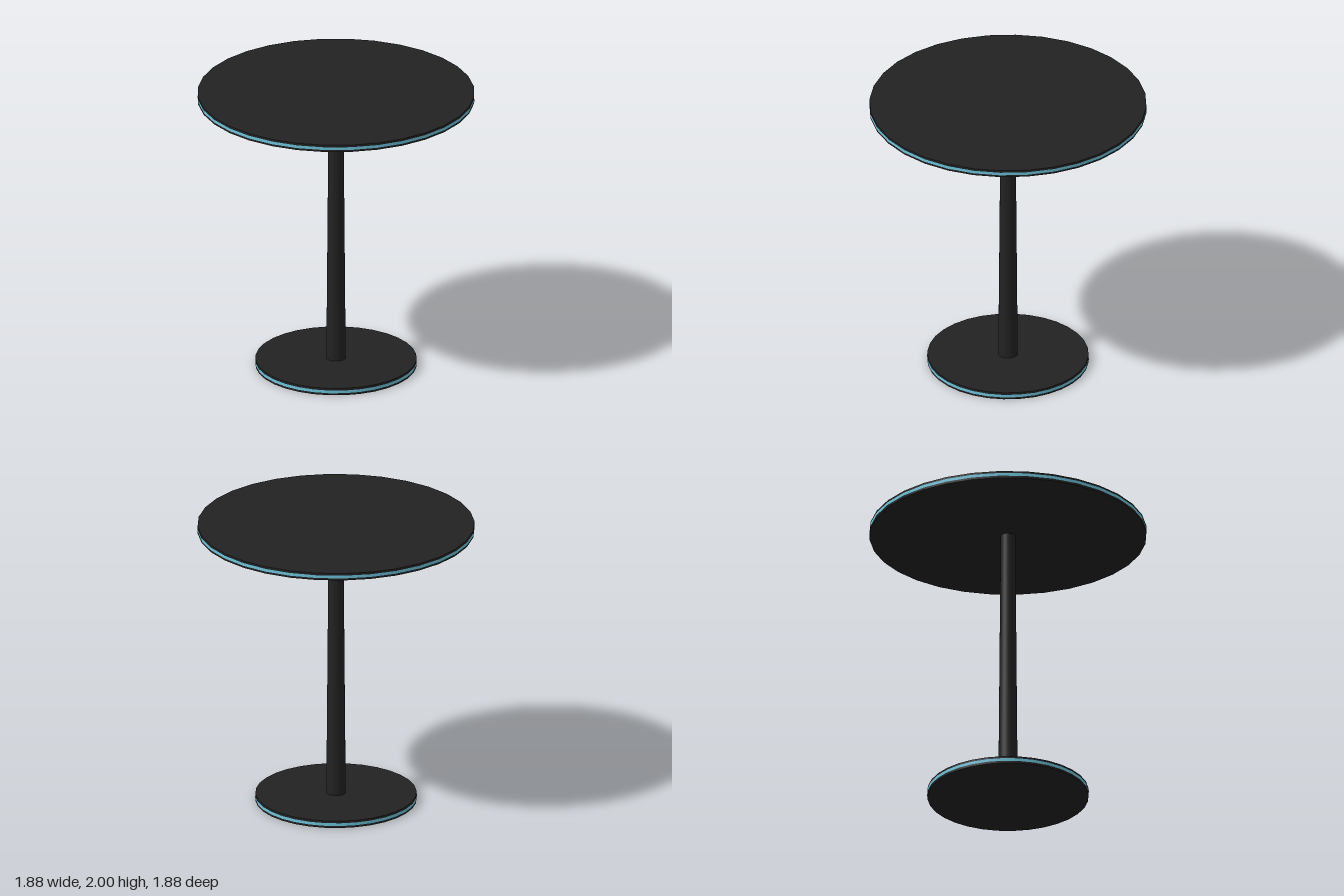
import * as THREE from 'three';

const SIDES = 32;
const dark = new THREE.MeshStandardMaterial({ color: 0x222222 });
const cyan = new THREE.MeshStandardMaterial({ color: 0x6cc4dc });

function cylinder(name, topRadius, bottomRadius, y0, y1, material, open = false) {
  const geometry = new THREE.CylinderGeometry(topRadius, bottomRadius, y1 - y0, SIDES, 1, open);
  const mesh = new THREE.Mesh(geometry, material);
  mesh.name = name;
  mesh.position.y = (y0 + y1) / 2;
  return mesh;
}

// Round slab with a coloured stripe around the middle of its rim
function stripedDisc(name, radius, y0, y1) {
  const disc = new THREE.Group();
  disc.name = name;
  const mid = (y0 + y1) / 2;
  disc.add(
    cylinder(name + 'Slab', radius, radius, y0, y1, dark),
    cylinder(name + 'Stripe', radius + 0.002, radius + 0.002, mid - 0.01, mid + 0.01, cyan, true),
  );
  return disc;
}

export function createModel() {
  const table = new THREE.Group();
  table.name = 'pedestalTable';
  table.add(
    stripedDisc('base', 0.547, 0, 0.05),
    // Slightly tapered column
    cylinder('column', 0.05, 0.066, 0.05, 1.95, dark),
    stripedDisc('tableTop', 0.94, 1.95, 2),
  );
  return table;
}
